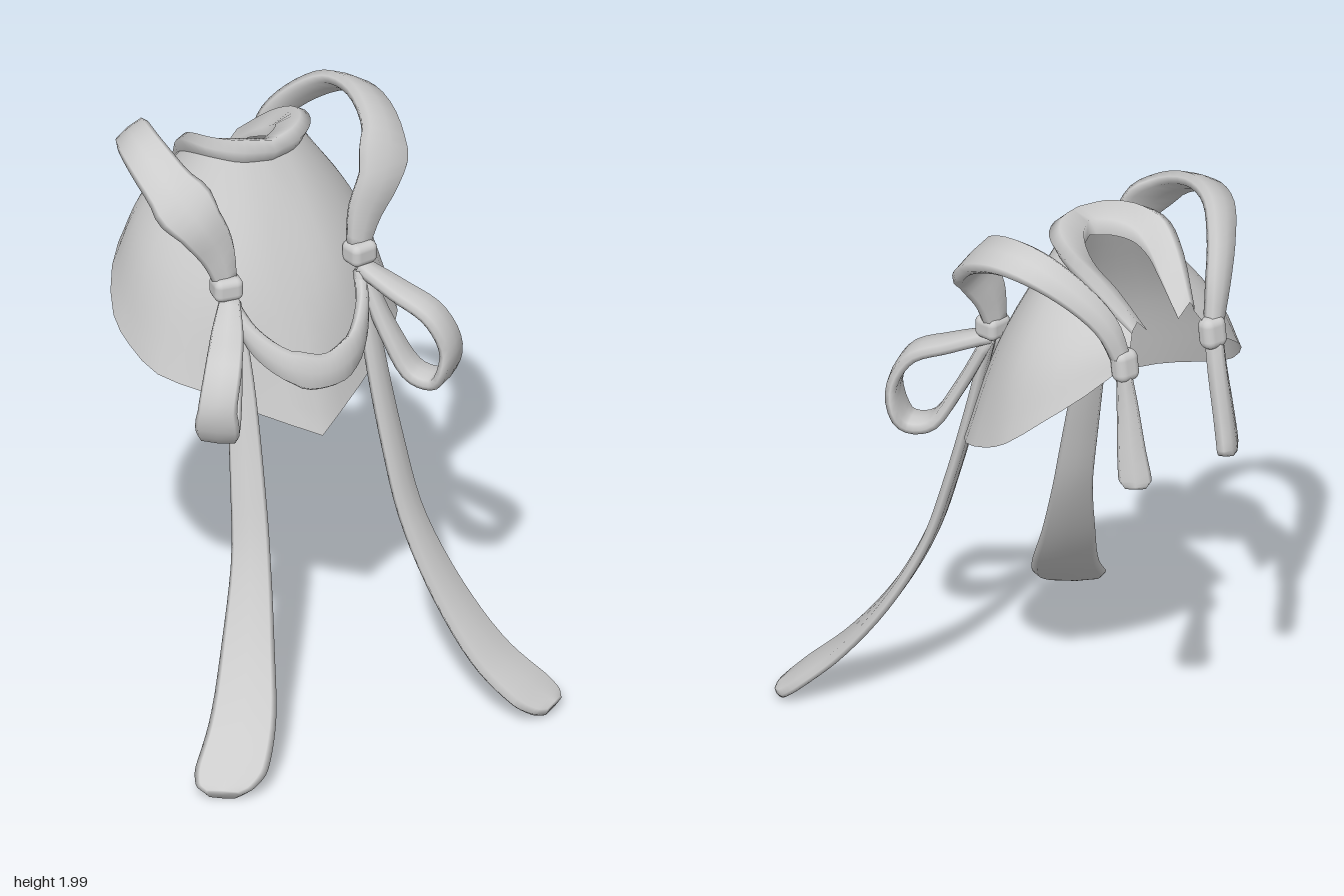
import * as THREE from 'three';
import { RoundedBoxGeometry } from 'three/addons/geometries/RoundedBoxGeometry.js';

const cloth = new THREE.MeshStandardMaterial({ color: 0xcccccc, side: THREE.DoubleSide });
cloth.name = 'pale grey cloth';

const V = (x, y, z) => new THREE.Vector3(x, y, z);
const curve = (pts) => new THREE.CatmullRomCurve3(pts.map((p) => V(p[0], p[1], p[2])));

function mesh(name, geometry) {
  const m = new THREE.Mesh(geometry, cloth);
  m.name = name;
  return m;
}

// Smooth surface through rows of points with equal counts
function loft(rows, closed = false) {
  const n = rows[0].length;
  const index = [];
  for (let i = 0; i < rows.length - 1; i++) {
    for (let j = 0; j < (closed ? n : n - 1); j++) {
      const k = (j + 1) % n;
      const a = i * n + j, b = i * n + k, c = a + n, d = b + n;
      if (closed) index.push(a, b, d, a, d, c);
      else index.push(a, c, d, a, d, b);
    }
  }
  const g = new THREE.BufferGeometry().setFromPoints(rows.flat());
  g.setIndex(index);
  g.computeVertexNormals();
  return g;
}

// Flat ribbon along [x, y, z, width] points; side is the direction of its width
function ribbon(name, pts, side, thickness, steps = 24) {
  const path = curve(pts);
  const widths = curve(pts.map((p) => [p[3], 0, 0]));
  const s = side.clone().normalize();
  const outline = [[0.5, 0], [0.42, 0.5], [0, 0.6], [-0.42, 0.5], [-0.5, 0], [-0.42, -0.5], [0, -0.6], [0.42, -0.5]];
  const rings = [];
  for (let i = 0; i <= steps; i++) {
    const p = path.getPoint(i / steps);
    const w = widths.getPoint(i / steps).x;
    const n = path.getTangent(i / steps).cross(s).normalize();
    rings.push(outline.map(([a, b]) => p.clone().addScaledVector(s, a * w).addScaledVector(n, b * thickness)));
    // Collapsed rings close the ends
    if (i === 0) rings.unshift(outline.map(() => p.clone()));
    if (i === steps) rings.push(outline.map(() => p.clone()));
  }
  return mesh(name, loft(rings, true));
}

// Half outline from front centre to back, mirrored into a full row
function mirroredRow(pts, half = 16) {
  const c = curve(pts);
  const row = [];
  for (let j = -half; j <= half; j++) {
    const p = c.getPoint(Math.abs(j) / half);
    if (j < 0) p.x *= -1;
    row.push(p);
  }
  return row;
}

export function createModel() {
  const model = new THREE.Group();
  model.name = 'ribboned cape';

  // Cape: neckline, rounded body and pointed hem, open at the back
  const neck = mirroredRow([
    [0, 1.87, -0.13], [0.1, 1.875, -0.155], [0.17, 1.88, -0.22], [0.195, 1.86, -0.31], [0.185, 1.81, -0.42], [0.13, 1.7, -0.57]]);
  const body = mirroredRow([
    [0, 1.44, 0.065], [0.14, 1.47, 0.04], [0.255, 1.5, -0.03], [0.34, 1.53, -0.13], [0.385, 1.56, -0.25],
    [0.38, 1.585, -0.35], [0.335, 1.62, -0.45], [0.25, 1.65, -0.53], [0.155, 1.655, -0.59]]);
  const hem = mirroredRow([
    [0, 1.0, 0.22], [0.2, 1.09, 0.115], [0.35, 1.165, 0.02], [0.45, 1.2, -0.09], [0.48, 1.25, -0.23],
    [0.48, 1.31, -0.34], [0.42, 1.42, -0.46], [0.31, 1.52, -0.55], [0.18, 1.61, -0.6]]);
  const columns = neck.map((p, j) => new THREE.CatmullRomCurve3([p, body[j], hem[j]]));
  const capeRows = [];
  for (let i = 0; i <= 12; i++) capeRows.push(columns.map((c) => c.getPoint(i / 12)));
  model.add(mesh('cape', loft(capeRows)));

  // Rolled collar: from the inner edge over the lip to the neckline
  const lip = mirroredRow([
    [0, 1.915, -0.1], [0.11, 1.925, -0.13], [0.19, 1.925, -0.21], [0.22, 1.91, -0.32], [0.195, 1.85, -0.43], [0.13, 1.715, -0.575]]);
  const inner = mirroredRow([
    [0, 1.925, -0.185], [0.06, 1.92, -0.23], [0.1, 1.9, -0.29], [0.11, 1.86, -0.35], [0.09, 1.8, -0.44], [0.065, 1.69, -0.57]]);
  // The inside turns down less towards the open ends
  const down = inner.map((p, j) => p.clone().add(V(0, -0.06 * (1 - (Math.abs(j - 16) / 16) ** 2), 0)));
  const crest = lip.map((p, j) => p.clone().lerp(inner[j], 0.3).add(V(0, 0.03, 0)));
  model.add(mesh('collar', loft([down, inner, crest, lip, neck])));

  // Band draped across the chest
  const bandHalf = [[0.235, 1.45, 0.05, 0.07], [0.2, 1.36, 0.125, 0.11], [0.11, 1.285, 0.215, 0.12]];
  model.add(ribbon('chestBand', [
    ...bandHalf, [0, 1.26, 0.245, 0.12], ...bandHalf.map(([x, ...r]) => [-x, ...r]).reverse()], V(0, 1, -0.15), 0.036));

  for (const s of [1, -1]) {
    const set = new THREE.Group();
    set.name = s > 0 ? 'leftRibbons' : 'rightRibbons';
    const add = (name, pts, dir, t, steps) => set.add(
      ribbon(name, pts.map(([x, y, z, w]) => [s * x, y, z, w]), V(s * dir[0], dir[1], dir[2]), t, steps));

    // Shoulder loop from the front knot over to the back knot
    add('shoulderLoop', [
      [0.245, 1.54, 0.005, 0.08], [0.275, 1.66, 0.0, 0.13], [0.345, 1.785, -0.015, 0.17], [0.4, 1.885, -0.1, 0.17],
      [0.415, 1.95, -0.25, 0.15], [0.385, 1.945, -0.38, 0.135], [0.31, 1.87, -0.49, 0.11], [0.235, 1.76, -0.565, 0.09],
      [0.19, 1.62, -0.595, 0.06]], [0.87, -0.48, 0], 0.044, 30);

    // Bow loop hanging forward from the front knot
    add('bowLoop', [
      [0.245, 1.485, 0.03, 0.07], [0.32, 1.43, 0.15, 0.11], [0.395, 1.37, 0.26, 0.125], [0.438, 1.25, 0.3, 0.13],
      [0.415, 1.13, 0.265, 0.13], [0.36, 1.135, 0.195, 0.12], [0.3, 1.27, 0.125, 0.09], [0.245, 1.475, 0.035, 0.06]],
    [0.78, 0, -0.62], 0.036, 30);

    // Long front tail sweeping out to the ground, with a rounded tip
    add('frontTail', [
      [0.24, 1.48, 0.04, 0.06], [0.25, 1.2, 0.115, 0.095], [0.272, 0.9, 0.2, 0.115], [0.302, 0.65, 0.28, 0.13],
      [0.375, 0.4, 0.395, 0.175], [0.465, 0.2, 0.525, 0.22], [0.555, 0.09, 0.615, 0.24], [0.603, 0.045, 0.652, 0.19],
      [0.622, 0.03, 0.668, 0.1]], [0.81, 0, -0.58], 0.034, 36);

    // Short tail behind
    add('backTail', [
      [0.19, 1.6, -0.6, 0.05], [0.19, 1.48, -0.62, 0.07], [0.195, 1.32, -0.648, 0.095], [0.195, 1.22, -0.667, 0.11],
      [0.195, 1.195, -0.67, 0.08]], [0.75, 0, 0.6], 0.052, 12);

    // Knots
    const frontKnot = mesh('frontKnot', new RoundedBoxGeometry(0.1, 0.08, 0.09, 3, 0.025));
    frontKnot.position.set(s * 0.25, 1.53, 0.015);
    frontKnot.rotation.y = s * 0.15;
    const backKnot = mesh('backKnot', new RoundedBoxGeometry(0.09, 0.11, 0.07, 3, 0.03));
    backKnot.position.set(s * 0.185, 1.615, -0.6);
    backKnot.rotation.x = 0.15;
    set.add(frontKnot, backKnot);
    model.add(set);
  }
  return model;
}
